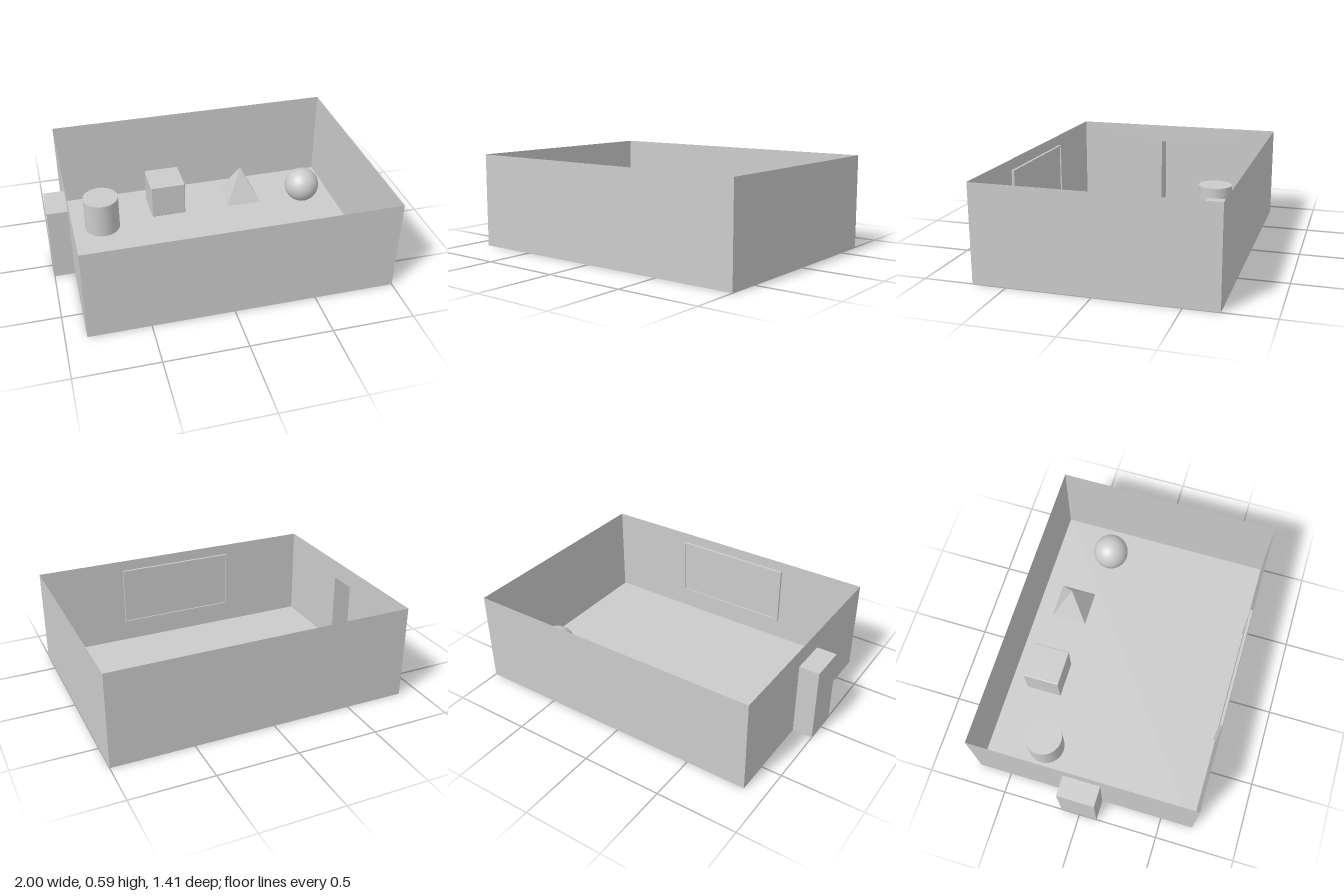
import * as THREE from 'three';
import { RoundedBoxGeometry } from 'three/addons/geometries/RoundedBoxGeometry.js';

const X0 = -0.875, X1 = 1, Z = 0.703, H = 0.588; // room extents
const DOOR = { x: -1, z0: -0.117, z1: 0.113, h: 0.47 }; // alcove extents

export function createModel() {
  const model = new THREE.Group();
  const solid = new THREE.MeshStandardMaterial({ color: 0xcccccc });
  const sheet = new THREE.MeshStandardMaterial({ color: 0xcccccc, side: THREE.DoubleSide });

  const add = (name, geometry, x, y, z, material = solid, parent = model) => {
    const mesh = new THREE.Mesh(geometry, material);
    mesh.name = name;
    mesh.position.set(x, y, z);
    parent.add(mesh);
    return mesh;
  };
  // Thin sheets: floor-like, facing z, and facing x
  const level = (name, x0, x1, z0, z1, y, parent) =>
    add(name, new THREE.PlaneGeometry(x1 - x0, z1 - z0).rotateX(-Math.PI / 2),
      (x0 + x1) / 2, y, (z0 + z1) / 2, sheet, parent);
  const across = (name, x0, x1, h, z, parent) =>
    add(name, new THREE.PlaneGeometry(x1 - x0, h), (x0 + x1) / 2, h / 2, z, sheet, parent);
  const along = (name, z0, z1, h, x, parent) =>
    add(name, new THREE.PlaneGeometry(z1 - z0, h).rotateY(Math.PI / 2),
      x, h / 2, (z0 + z1) / 2, sheet, parent);

  // Open-topped room
  const room = new THREE.Group();
  room.name = 'room';
  model.add(room);
  level('floor', X0, X1, -Z, Z, 0, room);
  across('frontWall', X0, X1, H, Z, room);
  across('backWall', X0, X1, H, -Z, room);
  along('leftWall', -Z, Z, H, X1, room);

  // Right wall with the doorway cut out; shape x runs along -z
  const wall = new THREE.Shape([
    [-Z, 0], [-DOOR.z1, 0], [-DOOR.z1, DOOR.h], [-DOOR.z0, DOOR.h],
    [-DOOR.z0, 0], [Z, 0], [Z, H], [-Z, H],
  ].map(([x, y]) => new THREE.Vector2(x, y)));
  add('rightWall', new THREE.ShapeGeometry(wall).rotateY(Math.PI / 2), X0, 0, 0, sheet, room);

  // Doorway alcove projecting from the right wall
  const alcove = new THREE.Group();
  alcove.name = 'doorAlcove';
  model.add(alcove);
  level('alcoveFloor', DOOR.x, X0, DOOR.z0, DOOR.z1, 0, alcove);
  level('alcoveRoof', DOOR.x, X0, DOOR.z0, DOOR.z1, DOOR.h, alcove);
  across('alcoveBackSide', DOOR.x, X0, DOOR.h, DOOR.z0, alcove);
  across('alcoveFrontSide', DOOR.x, X0, DOOR.h, DOOR.z1, alcove);
  along('alcoveEnd', DOOR.z0, DOOR.z1, DOOR.h, DOOR.x, alcove);

  // Wall board: raised rim around a recessed panel on the front wall
  const rect = (Type, w, h) => new Type([
    [-w, -h], [w, -h], [w, h], [-w, h],
  ].map(([x, y]) => new THREE.Vector2(x, y)));
  const w = 0.385, h = 0.192, rim = 0.012, depth = 0.017;
  const frame = rect(THREE.Shape, w, h);
  frame.holes.push(rect(THREE.Path, w - rim, h - rim));
  const board = new THREE.Group();
  board.name = 'wallBoard';
  board.position.set(0.057, 0.328, Z - depth);
  model.add(board);
  add('boardFrame', new THREE.ExtrudeGeometry(frame, { depth: depth - 0.001, bevelEnabled: false }),
    0, 0, 0, solid, board);
  add('boardPanel', new THREE.BoxGeometry(2 * (w - rim), 2 * (h - rim), 0.006),
    0, 0, depth - 0.005, solid, board);

  // Display solids standing on the floor
  const s = 0.234, r = s / 2;
  add('cylinder', new THREE.CylinderGeometry(r, r, s, 32), -0.634, r, -0.341);
  add('cube', new RoundedBoxGeometry(s, s, s, 2, 0.006), -0.171, r, -0.476);
  const pyramid = new THREE.ConeGeometry(r * Math.SQRT2, s, 4).rotateY(Math.PI / 4).toNonIndexed();
  pyramid.computeVertexNormals();
  add('pyramid', pyramid, 0.368, r, -0.476);
  add('sphere', new THREE.SphereGeometry(r, 32, 20), 0.778, r, -0.331);

  return model;
}
